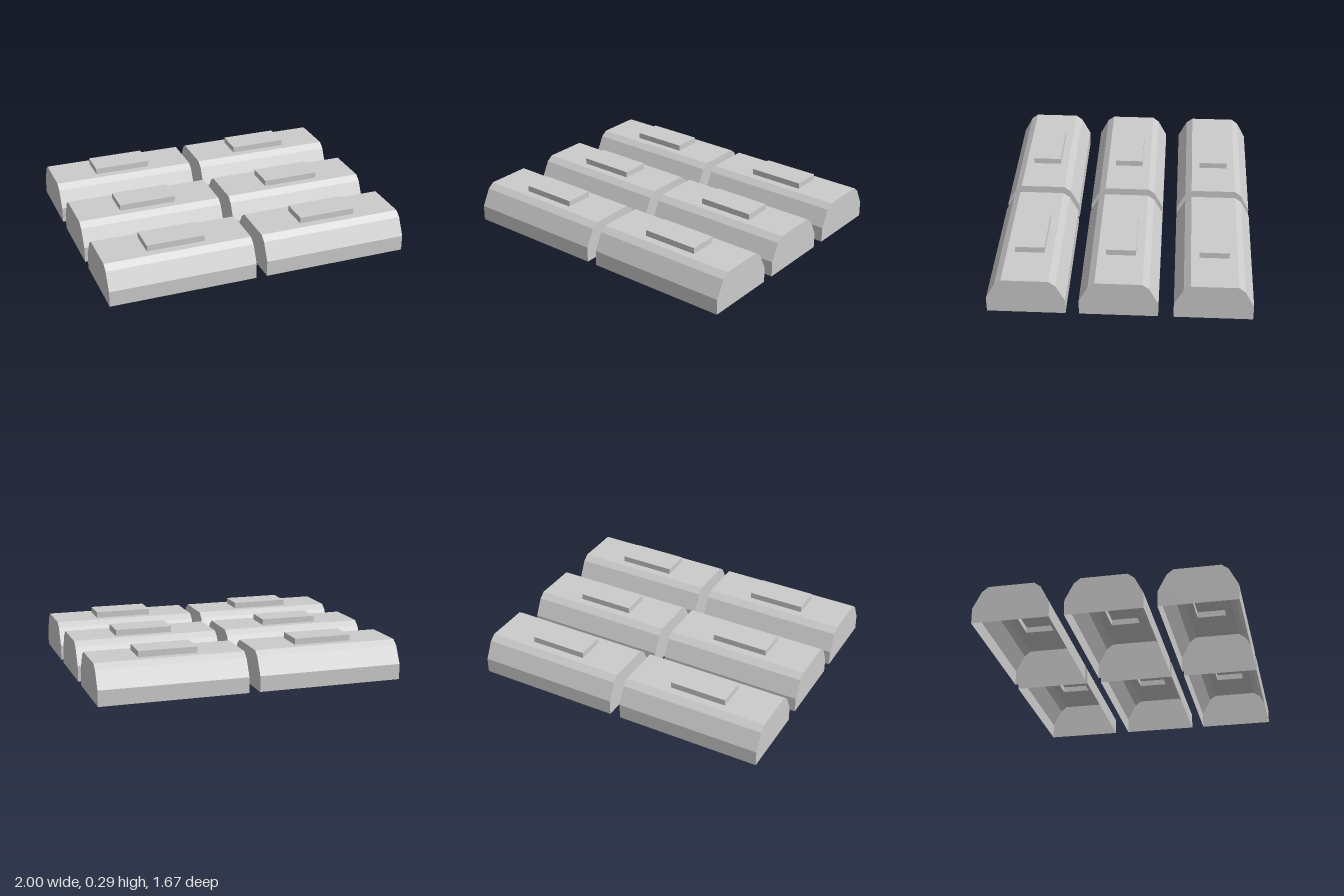
import * as THREE from 'three';

const HALF = 0.482;          // half length of a block along x
const PAD = [0.19, 0.095];   // half size of the raised pad
const ROOF = 0.246, PAD_TOP = 0.286;
// half section of a block, from the ground up: [z, y]
const SECTION = [[0.248, 0], [0.248, 0.102], [0.19, 0.214], [0.148, ROOF]];

const material = new THREE.MeshStandardMaterial({
  color: 0xcccccc, flatShading: true, side: THREE.DoubleSide,
});

const rectangle = (w, d) => [[-w, -d], [w, -d], [w, d], [-w, d]].map(p => new THREE.Vector2(...p));

// long faceted wall: foot, slope and bevel
function wallGeometry() {
  const pos = [];
  for (let i = 0; i < SECTION.length - 1; i++) {
    const [z0, y0] = SECTION[i], [z1, y1] = SECTION[i + 1];
    const a = [-HALF, y0, z0], b = [HALF, y0, z0], c = [HALF, y1, z1], d = [-HALF, y1, z1];
    pos.push(...a, ...b, ...c, ...a, ...c, ...d);
  }
  const g = new THREE.BufferGeometry();
  g.setAttribute('position', new THREE.Float32BufferAttribute(pos, 3));
  g.computeVertexNormals();
  return g;
}

// flat end with the full section outline
function endGeometry() {
  const right = SECTION.map(([z, y]) => new THREE.Vector2(z, y));
  const left = SECTION.map(([z, y]) => new THREE.Vector2(-z, y)).reverse();
  return new THREE.ShapeGeometry(new THREE.Shape([...right, ...left])).rotateY(Math.PI / 2);
}

// roof panel, open under the pad
function roofGeometry() {
  const shape = new THREE.Shape(rectangle(HALF, SECTION[3][0]));
  shape.holes.push(new THREE.Path(rectangle(...PAD).reverse()));
  return new THREE.ShapeGeometry(shape).rotateX(-Math.PI / 2).translate(0, ROOF, 0);
}

// hollow pad: a box without its bottom face
function padGeometry() {
  const g = new THREE.BoxGeometry(PAD[0] * 2, PAD_TOP - ROOF, PAD[1] * 2);
  const index = Array.from(g.index.array);
  index.splice(18, 6);
  g.setIndex(index);
  g.clearGroups();
  return g.translate(0, (ROOF + PAD_TOP) / 2, 0);
}

export function createModel() {
  const wall = wallGeometry(), end = endGeometry(), roof = roofGeometry(), pad = padGeometry();

  function block() {
    const group = new THREE.Group();
    group.name = 'block';
    const add = (name, geometry, x = 0, turn = 0) => {
      const mesh = new THREE.Mesh(geometry, material);
      mesh.name = name;
      mesh.position.x = x;
      mesh.rotation.y = turn;
      group.add(mesh);
    };
    add('frontWall', wall);
    add('backWall', wall, 0, Math.PI);
    add('leftEnd', end, HALF);
    add('rightEnd', end, -HALF, Math.PI);
    add('roof', roof);
    add('raisedPad', pad);
    return group;
  }

  // two columns of three blocks
  const model = new THREE.Group();
  model.name = 'blockArray';
  for (const x of [-0.518, 0.518]) {
    for (const z of [-0.586, 0.006, 0.586]) {
      const b = block();
      b.position.set(x, 0, z);
      model.add(b);
    }
  }
  return model;
}
